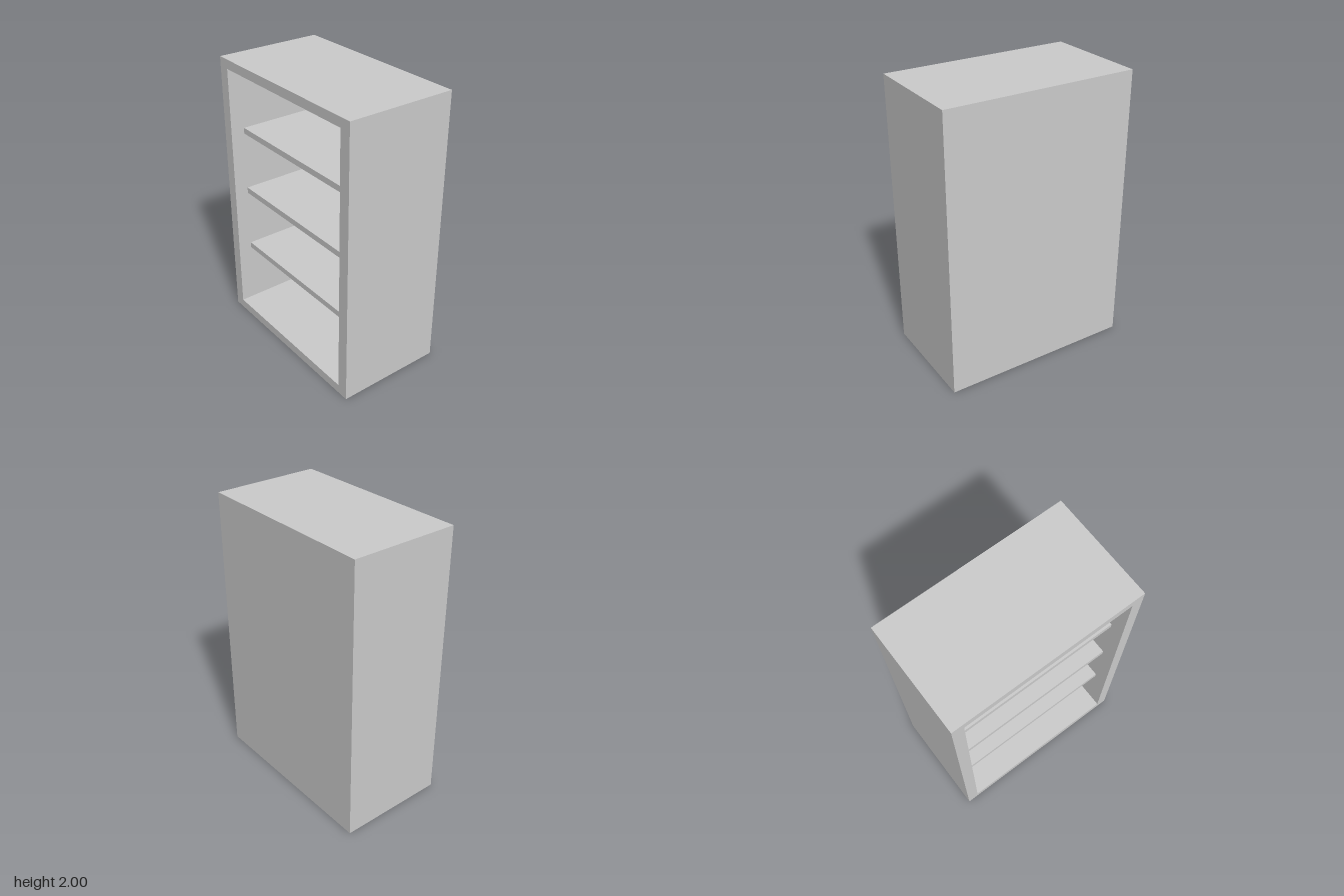
import * as THREE from 'three';

// Overall size and panel thicknesses
const DEPTH = 0.77, HEIGHT = 2, WIDTH = 1.364;
const SIDE = 0.082, CAP = 0.065, BACK = 0.05;
const SHELF = 0.043, RECESS = 0.1, SHELVES = 3;

function rectangle(PathType, halfWidth, bottom, top) {
  const path = new PathType();
  path.moveTo(-halfWidth, bottom);
  path.lineTo(halfWidth, bottom);
  path.lineTo(halfWidth, top);
  path.lineTo(-halfWidth, top);
  path.closePath();
  return path;
}

export function createModel() {
  const group = new THREE.Group();
  group.name = 'bookcase';
  const material = new THREE.MeshStandardMaterial({ color: 0xcccccc });

  function add(name, geometry, x = 0, y = 0, z = 0) {
    const mesh = new THREE.Mesh(geometry, material);
    mesh.name = name;
    mesh.position.set(x, y, z);
    group.add(mesh);
  }

  const innerWidth = WIDTH - 2 * SIDE;
  const innerHeight = HEIGHT - 2 * CAP;

  // Carcass: sides, top and bottom as one frame, opening towards -x
  const outline = rectangle(THREE.Shape, WIDTH / 2, 0, HEIGHT);
  outline.holes.push(rectangle(THREE.Path, innerWidth / 2, CAP, HEIGHT - CAP));
  const frame = new THREE.ExtrudeGeometry(outline, { depth: DEPTH, bevelEnabled: false });
  frame.translate(0, 0, -DEPTH / 2).rotateY(Math.PI / 2);
  add('carcass', frame);

  // Back panel, flush with the +x side
  add('backPanel', new THREE.BoxGeometry(BACK, innerHeight, innerWidth),
    DEPTH / 2 - BACK / 2, HEIGHT / 2);

  // Evenly spaced shelves, set back from the opening
  const shelfDepth = DEPTH - BACK - RECESS;
  for (let i = 1; i <= SHELVES; i++) {
    add(`shelf${i}`, new THREE.BoxGeometry(shelfDepth, SHELF, innerWidth),
      (RECESS - BACK) / 2, CAP + (innerHeight * i) / (SHELVES + 1));
  }

  return group;
}
